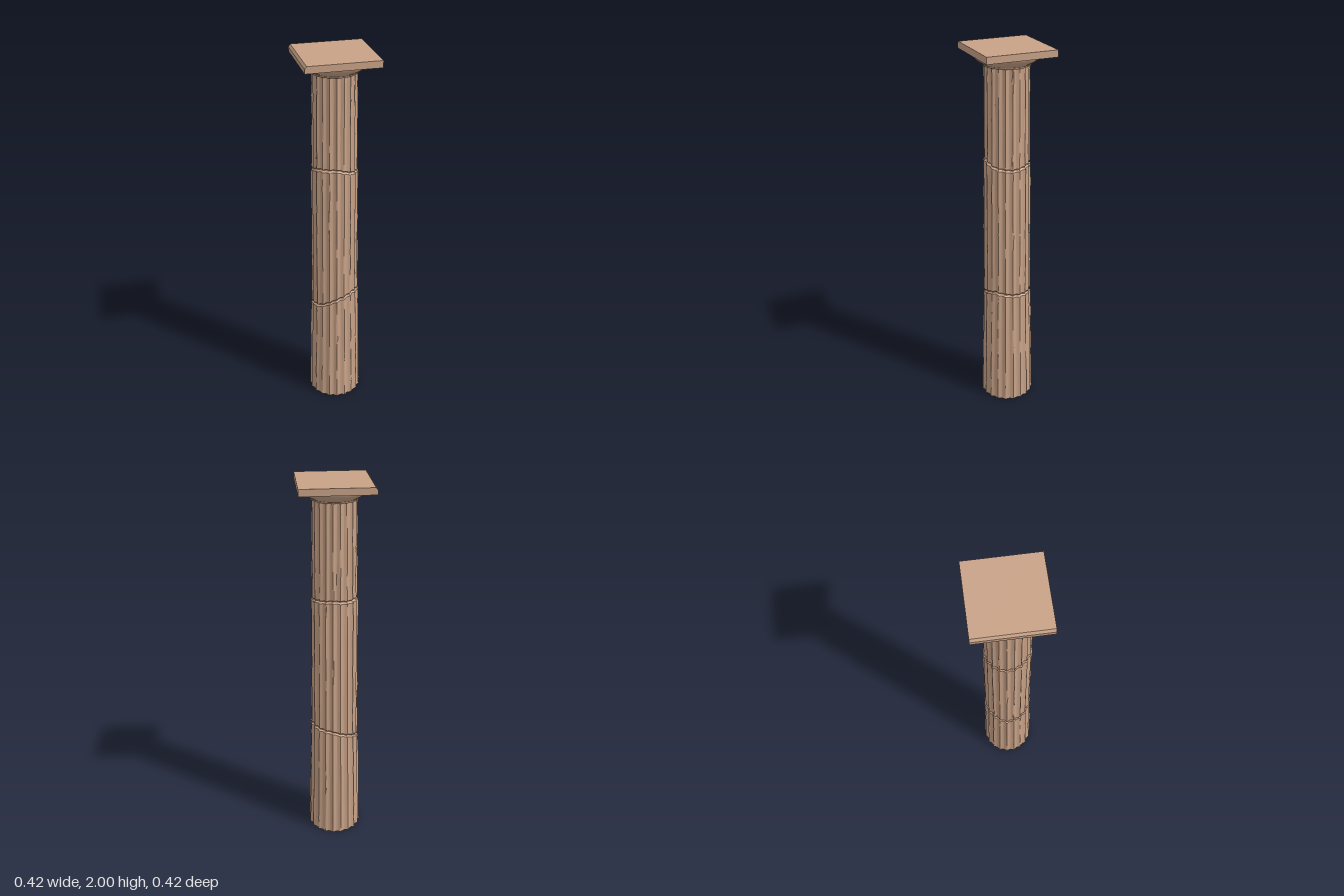
import * as THREE from 'three';
import { toCreasedNormals } from 'three/addons/utils/BufferGeometryUtils.js';

const FLUTES = 20, STEPS = 8, SIDES = FLUTES * STEPS;
const stone = new THREE.MeshStandardMaterial({ color: 0xc8a287, roughness: 0.9 });

// joint heights at eight compass points, from +x round through +z
const base = Array(8).fill(0);
const lowerCrack = [0.67, 0.685, 0.655, 0.605, 0.58, 0.615, 0.65, 0.66];
const upperCrack = [1.39, 1.4, 1.43, 1.425, 1.4, 1.4, 1.41, 1.4];
const neck = Array(8).fill(1.92);

function heightAt(table, angle) {
  const f = (angle / (Math.PI * 2)) * 8, i = Math.floor(f);
  return THREE.MathUtils.lerp(table[i % 8], table[(i + 1) % 8], f - i);
}

// small repeatable hash for worn arrises
function hash(a, b) {
  const s = Math.sin(a * 127.1 + b * 311.7) * 43758.5453;
  return s - Math.floor(s);
}

// fluted drum between two joint lines, with worn rims at the cracks
function drum(name, low, high, r0, r1, seed, wornLow, wornHigh) {
  const rows = [0, 0.012, 0.03, 0.12, 0.25, 0.38, 0.5, 0.62, 0.75, 0.88, 0.97, 0.988, 1];
  const pos = [], index = [];
  rows.forEach((t, row) => {
    const rim = (row === 0 && wornLow) || (row === rows.length - 1 && wornHigh) ? 0.009 : 0;
    for (let i = 0; i < SIDES; i++) {
      const angle = (i / SIDES) * Math.PI * 2;
      const inFlute = (i % STEPS) / STEPS;
      const flute = 0.01 * Math.sin(inFlute * Math.PI);
      const wear = i % STEPS === 0 ? 0.004 * hash(i + seed, row) : 0.0012 * hash(i + seed, row);
      const r = THREE.MathUtils.lerp(r0, r1, t) - flute - wear - rim;
      const y = THREE.MathUtils.lerp(heightAt(low, angle), heightAt(high, angle), t);
      pos.push(Math.cos(angle) * r, y, Math.sin(angle) * r);
    }
  });
  for (let row = 0; row < rows.length - 1; row++) {
    for (let i = 0; i < SIDES; i++) {
      const j = (i + 1) % SIDES;
      const a = row * SIDES + i, b = row * SIDES + j;
      index.push(a, a + SIDES, b, b, a + SIDES, b + SIDES);
    }
  }
  // end caps
  const mean = (table) => table.reduce((s, v) => s + v, 0) / 8;
  const bottom = pos.length / 3, top = bottom + 1, last = (rows.length - 1) * SIDES;
  pos.push(0, mean(low), 0, 0, mean(high), 0);
  for (let i = 0; i < SIDES; i++) {
    const j = (i + 1) % SIDES;
    index.push(bottom, i, j, top, last + j, last + i);
  }
  const geo = new THREE.BufferGeometry();
  geo.setAttribute('position', new THREE.Float32BufferAttribute(pos, 3));
  geo.setIndex(index);
  const mesh = new THREE.Mesh(toCreasedNormals(geo, 0.5), stone);
  mesh.name = name;
  return mesh;
}

export function createModel() {
  const column = new THREE.Group();
  column.name = 'column';

  // shaft
  const shaft = new THREE.Group();
  shaft.name = 'shaft';
  shaft.add(
    drum('lowerDrum', base, lowerCrack, 0.147, 0.133, 1, false, true),
    drum('middleDrum', lowerCrack, upperCrack, 0.13, 0.124, 7, true, true),
    drum('upperDrum', upperCrack, neck, 0.121, 0.116, 13, true, false),
  );
  column.add(shaft);

  // flared cushion of the capital
  const profile = [[0, 1.91], [0.121, 1.91], [0.124, 1.918], [0.134, 1.925], [0.15, 1.935],
    [0.162, 1.947], [0.17, 1.957], [0.173, 1.967], [0, 1.967]];
  const echinus = new THREE.Mesh(
    toCreasedNormals(new THREE.LatheGeometry(profile.map(([x, y]) => new THREE.Vector2(x, y)), 48), 0.4),
    stone,
  );
  echinus.name = 'echinus';
  column.add(echinus);

  // turned square slab with one sloping side
  const section = new THREE.Shape([[-0.187, 1.965], [0.187, 1.965], [0.187, 2], [-0.177, 2], [-0.187, 1.987]]
    .map(([x, y]) => new THREE.Vector2(x, y)));
  const slab = new THREE.ExtrudeGeometry(section, { depth: 0.367, bevelEnabled: false });
  slab.translate(0, 0, -0.1835);
  const abacus = new THREE.Mesh(slab, stone);
  abacus.name = 'abacus';
  abacus.rotation.y = 0.15;
  column.add(abacus);

  return column;
}
